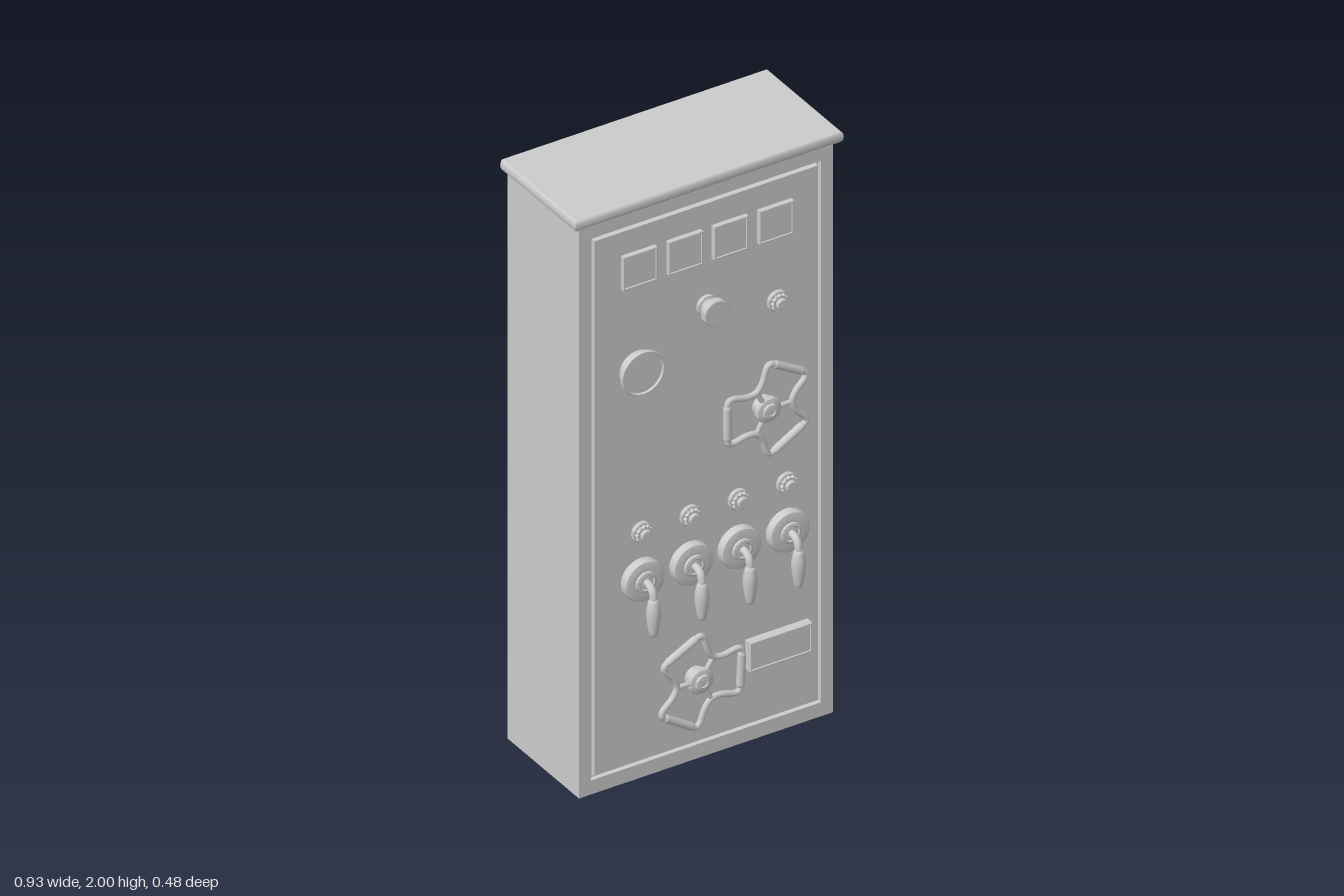
import * as THREE from 'three';
import { toCreasedNormals } from 'three/addons/utils/BufferGeometryUtils.js';

const grey = new THREE.MeshStandardMaterial({ color: 0xcccccc });
const sheet = new THREE.MeshStandardMaterial({ color: 0xcccccc, side: THREE.DoubleSide });
const FRONT = 0.148, BACK = -0.24, W = 0.438, EAVE = 1.965;

function add(parent, name, geometry, material = grey) {
  const mesh = new THREE.Mesh(geometry, material);
  mesh.name = name;
  parent.add(mesh);
  return mesh;
}

function group(parent, name, x, y) {
  const g = new THREE.Group();
  g.name = name;
  g.position.set(x, y, FRONT);
  parent.add(g);
  return g;
}

// Skin between successive rows of points
function loft(rows) {
  const pos = [];
  for (let i = 0; i + 1 < rows.length; i++) {
    for (let j = 0; j + 1 < rows[i].length; j++) {
      const a = rows[i][j], b = rows[i][j + 1], c = rows[i + 1][j + 1], d = rows[i + 1][j];
      pos.push(...a, ...b, ...c, ...a, ...c, ...d);
    }
  }
  const geo = new THREE.BufferGeometry();
  geo.setAttribute('position', new THREE.Float32BufferAttribute(pos, 3));
  geo.computeVertexNormals();
  return toCreasedNormals(geo, 0.6);
}

// Turned part whose axis points out of the panel; profile is [radius, height]
function turned(profile, sides = 32) {
  const geo = new THREE.LatheGeometry(profile.map(([r, h]) => new THREE.Vector2(r, h)), sides);
  return toCreasedNormals(geo.rotateX(Math.PI / 2), 0.6);
}

// Open-backed sheet cabinet with a grooved door and a rolled cap
function buildCabinet(root) {
  for (const s of [1, -1]) {
    add(root, s > 0 ? 'leftWall' : 'rightWall', loft([
      [[s * W, 0, FRONT], [s * W, 0, BACK]],
      [[s * W, EAVE, FRONT], [s * W, EAVE, BACK]],
    ].map(r => (s > 0 ? r : r.reverse()))), sheet);
  }
  add(root, 'floor', loft([
    [[-W, 0, BACK], [W, 0, BACK]],
    [[-W, 0, FRONT], [W, 0, FRONT]],
  ]), sheet);

  const frame = (w, y0, y1, z) => [[-w, y0, z], [w, y0, z], [w, y1, z], [-w, y1, z], [-w, y0, z]];
  const inset = (d, z) => frame(0.397 - d, 0.048 + d, 1.913 - d, z);
  add(root, 'frontPanel', loft([
    frame(W, 0, EAVE, FRONT), inset(0, FRONT), inset(0.003, FRONT - 0.012),
    inset(0.009, FRONT - 0.012), inset(0.013, FRONT),
    [0, 0, 0, 0, 0].map(() => [0, 0.98, FRONT]),
  ]), sheet);

  const rim = (d, y) => [[W + d, y, BACK], [W + d, y, FRONT + d * 0.76],
    [-W - d, y, FRONT + d * 0.76], [-W - d, y, BACK]];
  const profile = [[0, EAVE], [0.018, EAVE]];
  for (let i = 0; i <= 6; i++) {
    const a = -Math.PI / 2 + (i / 6) * Math.PI;
    profile.push([0.017 + 0.008 * Math.cos(a), 1.9825 + 0.0175 * Math.sin(a)]);
  }
  add(root, 'capRim', loft(profile.map(([d, y]) => rim(d, y)).reverse()), sheet);
  const [a, b, c, d] = rim(0.017, 2);
  add(root, 'capTop', loft([[c, b], [d, a]].reverse()), sheet);
}

// Rectangular window with a raised bevelled rim and a sunken face
function windowPlate(root, name, x, y, w, h, depth) {
  const g = group(root, name, x, y);
  const r = (d, z) => {
    const u = w / 2 - d, v = h / 2 - d;
    return [[-u, -v, z], [u, -v, z], [u, v, z], [-u, v, z], [-u, -v, z]];
  };
  add(g, 'bezel', loft([r(0, -0.001), r(0, depth - 0.002), r(0.002, depth), r(0.005, depth), r(0.006, depth - 0.004)]));
  add(g, 'face', new THREE.PlaneGeometry(w - 0.012, h - 0.012)).position.z = depth - 0.004;
}

function pushButton(root, x, y) {
  add(group(root, 'pushButton', x, y), 'mushroomHead', turned([
    [0, -0.003], [0.034, -0.003], [0.034, 0.012], [0.026, 0.014], [0.026, 0.022], [0.031, 0.03],
    [0.041, 0.036], [0.044, 0.042], [0.044, 0.059], [0.041, 0.062], [0, 0.062]]));
}

function dial(root, x, y) {
  add(group(root, 'dial', x, y), 'dialCase', turned([
    [0, -0.003], [0.062, -0.003], [0.062, 0.02], [0.072, 0.022], [0.075, 0.026], [0.075, 0.034],
    [0.073, 0.037], [0.068, 0.037], [0.066, 0.03], [0, 0.03]], 40));
}

// Small knob: round base, knurled collar and button
function knob(root, x, y) {
  const g = group(root, 'knob', x, y);
  add(g, 'base', turned([[0, -0.003], [0.033, -0.003], [0.035, 0.004], [0.035, 0.01], [0.032, 0.013], [0, 0.013]], 24));
  const star = new THREE.Shape();
  for (let i = 0; i < 24; i++) {
    const a = (i / 24) * Math.PI * 2, r = i % 2 ? 0.024 : 0.029;
    star[i ? 'lineTo' : 'moveTo'](r * Math.cos(a), r * Math.sin(a));
  }
  add(g, 'collar', new THREE.ExtrudeGeometry(star, { depth: 0.013, bevelEnabled: false })).position.z = 0.012;
  add(g, 'button', turned([[0.018, 0.024], [0.018, 0.033], [0.015, 0.036], [0, 0.036]], 20));
}

// Lever: round flange, hub, bent stem and a tapered grip hanging down
function lever(root, x, y) {
  const g = group(root, 'lever', x, y);
  add(g, 'flange', turned([[0, -0.003], [0.069, -0.003], [0.069, 0.02], [0.066, 0.026], [0.06, 0.028],
    [0.036, 0.028], [0.034, 0.034], [0.026, 0.036], [0.022, 0.032], [0, 0.032]], 40));
  const path = new THREE.CatmullRomCurve3([[0.025, 0], [0.045, -0.001], [0.062, -0.012], [0.069, -0.032], [0.069, -0.05]]
    .map(([z, py]) => new THREE.Vector3(0, py, z)));
  add(g, 'stem', new THREE.TubeGeometry(path, 20, 0.012, 12));
  const grip = [[0, -0.163], [0.01, -0.162], [0.013, -0.156], [0.016, -0.14], [0.02, -0.115], [0.022, -0.09],
    [0.021, -0.07], [0.017, -0.05], [0.013, -0.037], [0, -0.035]];
  add(g, 'grip', new THREE.LatheGeometry(grip.map(([r, h]) => new THREE.Vector2(r, h)), 20)).position.z = 0.069;
}

// Three-lobed handwheel: bent rim, bar grips, spokes and hub
function handwheel(root, x, y, turn) {
  const g = group(root, 'handwheel', x, y);
  g.rotation.z = turn;
  const z = 0.033, points = [];
  for (let k = 0; k < 3; k++) {
    const a = (k / 3) * Math.PI * 2, c = Math.cos(a), s = Math.sin(a);
    for (const [u, v] of [[0.041, -0.071], [0.072, -0.066], [0.124, -0.076], [0.136, -0.072], [0.14, -0.06],
      [0.14, 0.06], [0.136, 0.072], [0.124, 0.076], [0.072, 0.066]]) {
      points.push(new THREE.Vector3(u * c - v * s, u * s + v * c, z));
    }
    const bar = add(g, 'barGrip', new THREE.CapsuleGeometry(0.013, 0.1, 4, 12));
    bar.position.set(0.14 * c, 0.14 * s, z);
    bar.rotation.z = a;
    const b = a + Math.PI / 3;
    const spoke = add(g, 'spoke', new THREE.CylinderGeometry(0.008, 0.008, 0.06, 10));
    spoke.position.set(0.054 * Math.cos(b), 0.054 * Math.sin(b), z);
    spoke.rotation.z = b - Math.PI / 2;
  }
  const curve = new THREE.CatmullRomCurve3(points, true, 'centripetal');
  add(g, 'rim', new THREE.TubeGeometry(curve, 160, 0.01, 10, true));
  add(g, 'hub', turned([[0, -0.003], [0.034, -0.003], [0.034, 0.02], [0.042, 0.024], [0.043, 0.036], [0.039, 0.042],
    [0.026, 0.045], [0.024, 0.052], [0.013, 0.054], [0.011, 0.05], [0, 0.05]]));
}

export function createModel() {
  const root = new THREE.Group();
  root.name = 'controlCabinet';
  buildCabinet(root);
  for (const x of [-0.235, -0.078, 0.078, 0.235]) windowPlate(root, 'meterWindow', x, 1.762, 0.118, 0.115, 0.015);
  windowPlate(root, 'namePlate', 0.242, 0.303, 0.215, 0.1, 0.028);
  pushButton(root, 0, 1.553);
  dial(root, -0.237, 1.413);
  knob(root, 0.243, 1.487);
  for (const x of [-0.225, -0.058, 0.108, 0.275]) {
    knob(root, x, 0.849);
    lever(root, x, 0.688);
  }
  handwheel(root, 0.193, 1.143, Math.PI);
  handwheel(root, -0.04, 0.288, -0.05);
  return root;
}
